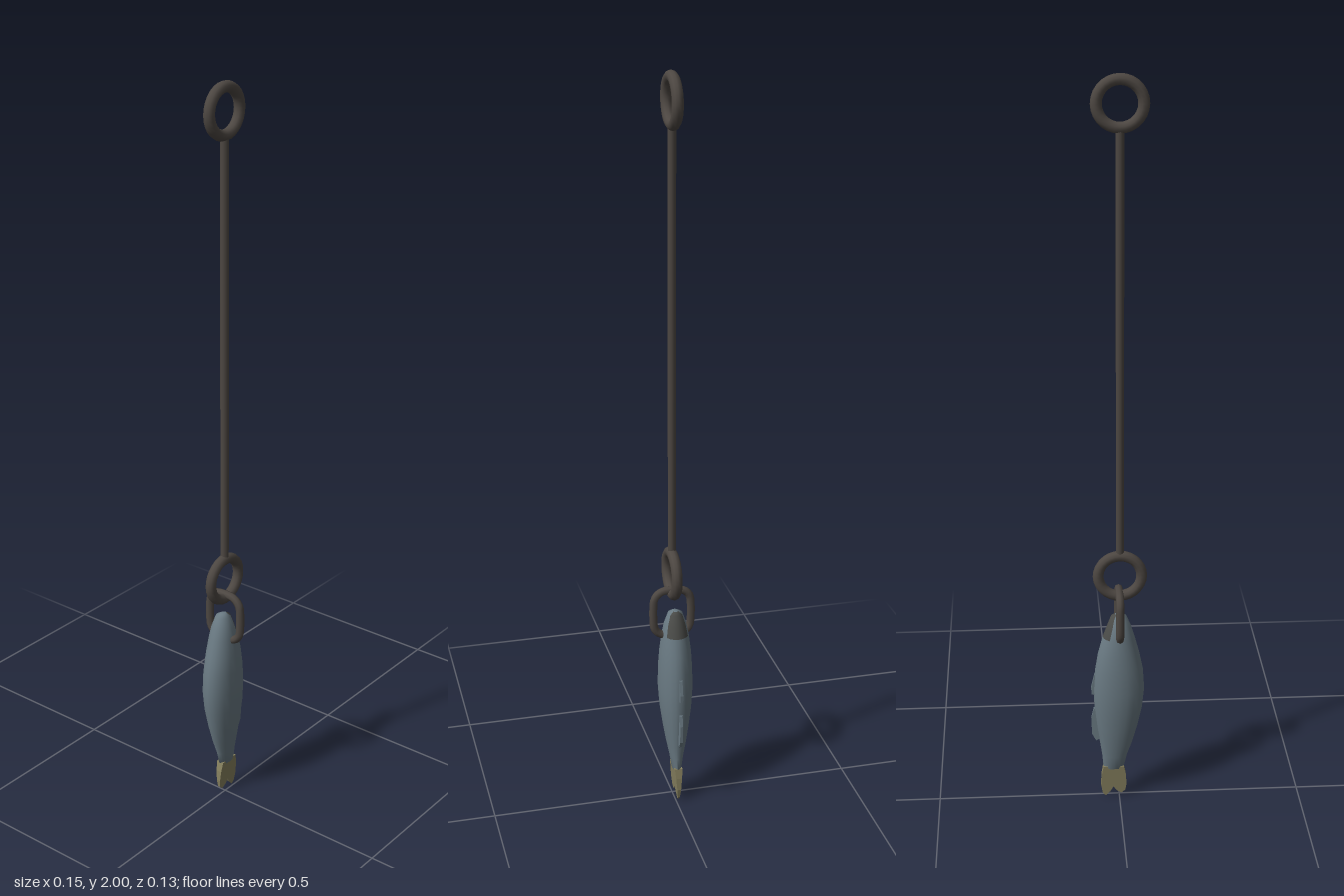
import * as THREE from 'three';

const mat = (name, color, side = THREE.FrontSide) => {
  const m = new THREE.MeshStandardMaterial({ color, side });
  m.name = name;
  return m;
};

export function createModel() {
  const iron = mat('dark iron', 0x4d4742);
  const skin = mat('slate skin', 0x6a7a83);
  const belly = mat('dark underside', 0x4b4c49);
  const tailColor = mat('olive tail', 0x87815f);

  const model = new THREE.Group();
  model.name = 'hangingFish';
  const add = (name, geometry, material, parent = model) => {
    const mesh = new THREE.Mesh(geometry, material);
    mesh.name = name;
    parent.add(mesh);
    return mesh;
  };

  // Hanging rod with a ring at each end
  add('rod', new THREE.CylinderGeometry(0.011, 0.011, 1.15, 10), iron).position.set(-0.002, 1.302, 0);
  for (const [name, y] of [['topRing', 1.927], ['bottomRing', 0.676]]) {
    add(name, new THREE.TorusGeometry(0.058, 0.0145, 10, 28), iron).position.set(-0.002, y, 0);
  }

  // Rounded link through the lower ring and the fish's head
  const path = [];
  const r = 0.036, halfZ = 0.051, halfY = 0.066;
  [[1, 1], [-1, 1], [-1, -1], [1, -1]].forEach(([sz, sy], k) => {
    for (let i = 0; i <= 4; i++) {
      const a = (k + i / 4) * Math.PI / 2;
      path.push(new THREE.Vector3(0, 0.562 + sy * (halfY - r) + r * Math.sin(a), sz * (halfZ - r) + r * Math.cos(a)));
    }
  });
  add('link', new THREE.TubeGeometry(new THREE.CatmullRomCurve3(path, true), 48, 0.011, 8, true), iron);

  const fish = new THREE.Group();
  fish.name = 'fish';
  fish.position.z = -0.008;
  model.add(fish);

  // Body cross-sections, snout to tail root: y, min x, max x, half depth
  const sections = [
    [0.567, -0.008, 0.012, 0.008], [0.56, -0.02, 0.023, 0.02], [0.53, -0.032, 0.034, 0.03],
    [0.5, -0.041, 0.045, 0.036], [0.45, -0.054, 0.058, 0.042], [0.4, -0.064, 0.066, 0.045],
    [0.34, -0.068, 0.07, 0.046], [0.28, -0.062, 0.068, 0.042], [0.22, -0.049, 0.061, 0.034],
    [0.17, -0.035, 0.053, 0.026], [0.13, -0.021, 0.047, 0.018], [0.09, -0.012, 0.044, 0.012],
  ];
  const n = 20, pos = [], skinFaces = [], darkFaces = [];
  for (const [y, x0, x1, d] of sections) {
    for (let j = 0; j < n; j++) {
      const a = (j / n) * Math.PI * 2;
      pos.push((x0 + x1) / 2 + Math.cos(a) * (x1 - x0) / 2, y, Math.sin(a) * d);
    }
  }
  for (let i = 0; i < sections.length - 1; i++) {
    for (let j = 0; j < n; j++) {
      const k = (j + 1) % n;
      const a = i * n + j, b = i * n + k, c = a + n, d = b + n;
      const dark = i < 3 && (j < 3 || j >= n - 3);
      (dark ? darkFaces : skinFaces).push(a, b, c, b, d, c);
    }
  }
  // Close the snout and tail root
  const end = (sections.length - 1) * n;
  for (let j = 1; j < n - 1; j++) {
    skinFaces.push(0, j + 1, j, end, end + j, end + j + 1);
  }
  const body = new THREE.BufferGeometry();
  body.setAttribute('position', new THREE.Float32BufferAttribute(pos, 3));
  body.setIndex([...skinFaces, ...darkFaces]);
  body.addGroup(0, skinFaces.length, 0);
  body.addGroup(skinFaces.length, darkFaces.length, 1);
  body.computeVertexNormals();
  add('body', body, [skin, belly], fish);

  // Flat outline given a thickness
  const plate = (points, depth) => {
    const shape = new THREE.Shape(points.map(([x, y]) => new THREE.Vector2(x, y)));
    const g = new THREE.ExtrudeGeometry(shape, { depth, bevelEnabled: false });
    return g.translate(0, 0, -depth / 2);
  };

  // Forked tail, thinning toward its tips
  const tail = plate([[-0.012, 0.098], [-0.018, 0.07], [-0.02, 0.04], [-0.017, 0.018], [-0.006, 0.008],
    [0.008, 0.017], [0.016, 0.03], [0.025, 0.014], [0.038, 0], [0.046, 0.01], [0.051, 0.035], [0.049, 0.07], [0.044, 0.098]], 0.022);
  const p = tail.attributes.position;
  for (let i = 0; i < p.count; i++) p.setZ(i, p.getZ(i) * (0.2 + 8 * p.getY(i)));
  tail.computeVertexNormals();
  add('tailFin', tail, tailColor, fish);

  // Small fins along the underside
  add('frontFin', plate([[0.05, 0.42], [0.068, 0.385], [0.077, 0.345], [0.076, 0.325], [0.055, 0.32]], 0.008), skin, fish);
  add('rearFin', plate([[0.05, 0.29], [0.07, 0.28], [0.077, 0.25], [0.075, 0.2], [0.064, 0.18], [0.045, 0.19]], 0.008), skin, fish);

  return model;
}
